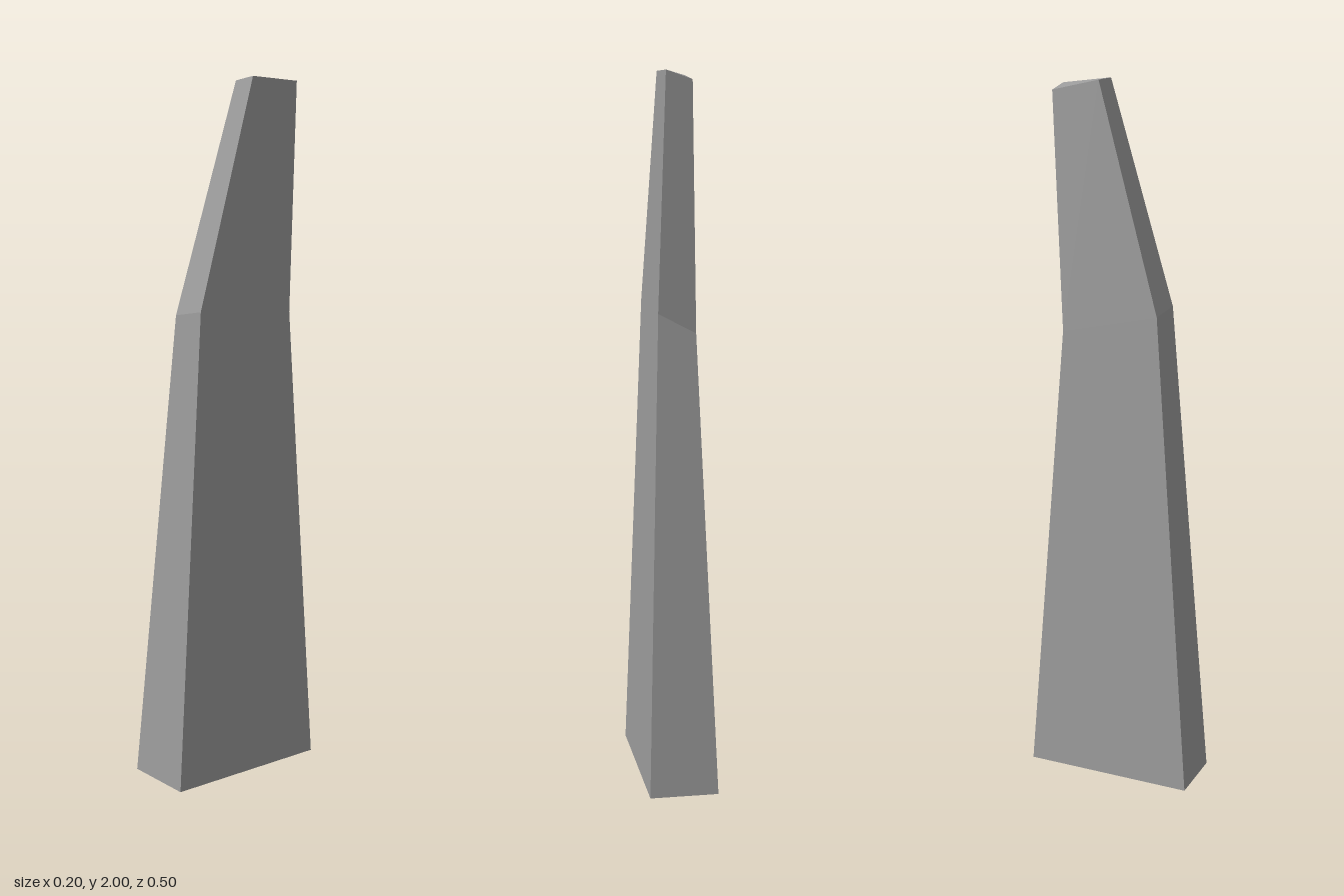
import * as THREE from 'three';

// Four-cornered cross-sections, counter-clockwise from above, starting front right
const sections = [
  [[-0.102, 0, 0.251], [0.1, 0, 0.233], [0.1, 0, -0.25], [-0.094, 0, -0.253]],
  [[-0.053, 1.35, 0.133], [0.062, 1.37, 0.129], [0.064, 1.35, -0.178], [-0.043, 1.295, -0.167]],
  [[-0.03, 1.99, -0.057], [0.047, 2, -0.058], [0.048, 1.99, -0.21], [-0.024, 1.967, -0.206]],
];

// Skin the sections with four-sided facets, each shaded evenly, and close both ends
function loft(rings) {
  const positions = [], normals = [];

  // one facet, split from its first corner to its third
  function addQuad(a, b, c, d) {
    const [p, q, r, s] = [a, b, c, d].map((v) => new THREE.Vector3(...v));
    const normal = r.sub(p).cross(s.sub(q)).normalize();
    for (const corner of [a, b, c, a, c, d]) {
      positions.push(...corner);
      normals.push(...normal.toArray());
    }
  }

  for (let k = 0; k < rings.length - 1; k++) {
    const low = rings[k], high = rings[k + 1];
    for (let i = 0; i < 4; i++) {
      const j = (i + 1) % 4;
      // the back is split along its other diagonal
      if (i === 2) addQuad(low[j], high[j], high[i], low[i]);
      else addQuad(low[i], low[j], high[j], high[i]);
    }
  }
  addQuad(...[...rings[0]].reverse());
  addQuad(...rings[rings.length - 1]);

  const geometry = new THREE.BufferGeometry();
  geometry.setAttribute('position', new THREE.Float32BufferAttribute(positions, 3));
  geometry.setAttribute('normal', new THREE.Float32BufferAttribute(normals, 3));
  return geometry;
}

export function createModel() {
  const group = new THREE.Group();
  group.name = 'bentSpike';

  // Tapering shaft that leans back above its bend
  const material = new THREE.MeshStandardMaterial({ color: 0x9b9b9b });
  const shaft = new THREE.Mesh(loft(sections), material);
  shaft.name = 'shaft';
  group.add(shaft);

  return group;
}
